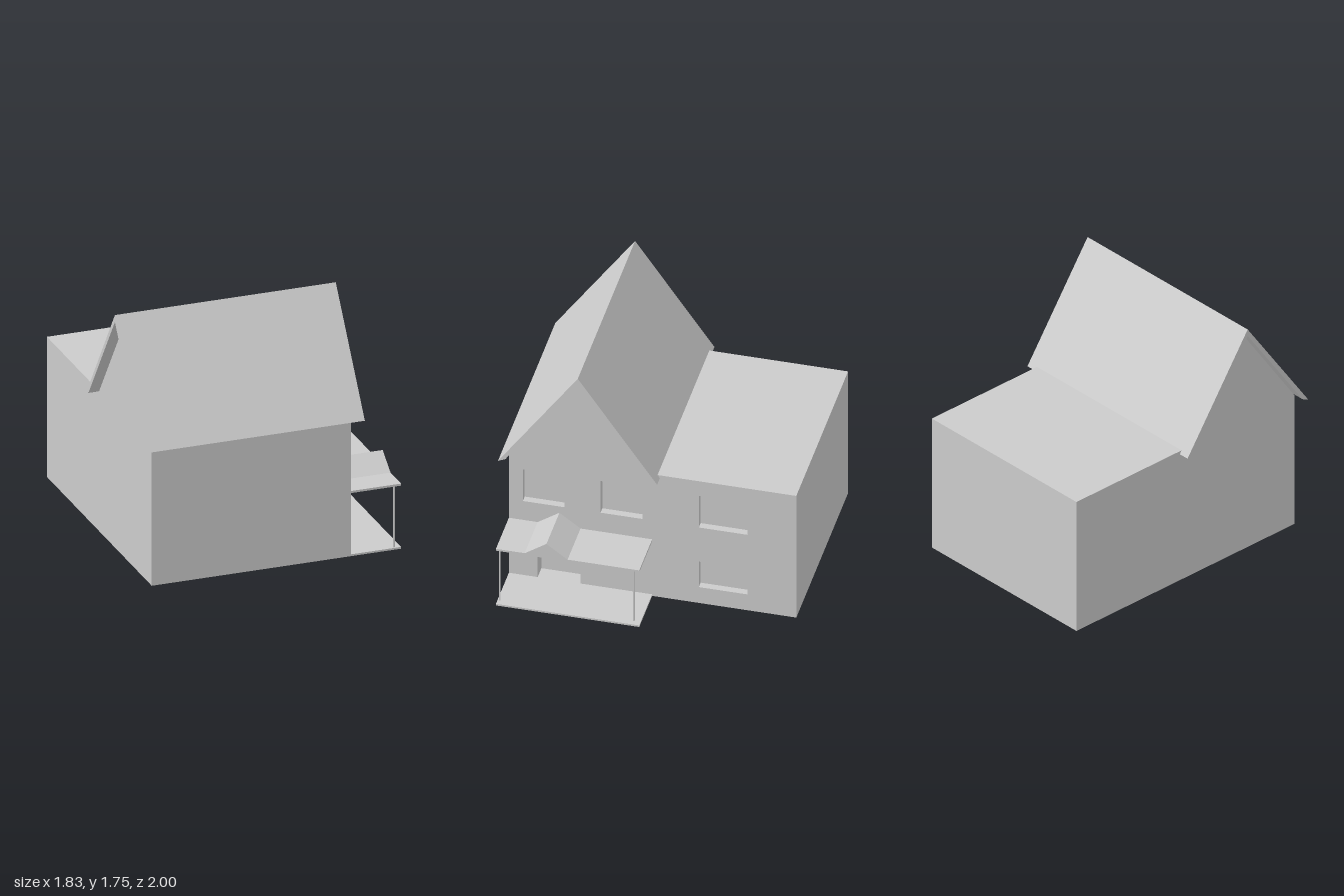
import * as THREE from 'three';

const material = new THREE.MeshStandardMaterial({ color: 0xcccccc, flatShading: true });
const thin = new THREE.MeshStandardMaterial({ color: 0xcccccc, flatShading: true, side: THREE.DoubleSide });

// Polygon of [z, y] points facing +x
const sideShape = (pts) => new THREE.Shape(pts.map(([z, y]) => new THREE.Vector2(-z, y)));
const rect = (z0, z1, y0, y1) => [[z0, y0], [z1, y0], [z1, y1], [z0, y1]];

// Strip of quads joining an outline of [z, y] points at x0 to the same at x1
function band(pts, x0, x1) {
  const pos = [];
  pts.forEach(([z, y], i) => {
    const [zn, yn] = pts[(i + 1) % pts.length];
    pos.push(x0, y, z, x0, yn, zn, x1, yn, zn, x0, y, z, x1, yn, zn, x1, y, z);
  });
  const geo = new THREE.BufferGeometry();
  geo.setAttribute('position', new THREE.Float32BufferAttribute(pos, 3));
  geo.computeVertexNormals();
  return geo;
}

function add(parent, name, geo, mat = material) {
  const mesh = new THREE.Mesh(geo, mat);
  mesh.name = name;
  parent.add(mesh);
  return mesh;
}

// Flat panel facing +x at the given x
const panel = (shape, x) => new THREE.ShapeGeometry(shape).rotateY(Math.PI / 2).translate(x, 0, 0);

// Box given by its limits
function block(parent, name, x0, x1, y0, y1, z0, z1) {
  add(parent, name, new THREE.BoxGeometry(x1 - x0, y1 - y0, z1 - z0))
    .position.set((x0 + x1) / 2, (y0 + y1) / 2, (z0 + z1) / 2);
}

export function createModel() {
  const model = new THREE.Group();
  model.name = 'house';
  const left = -0.84, right = 0.56;

  // House body with recessed openings in the right wall
  const body = new THREE.Group();
  body.name = 'body';
  model.add(body);
  const outline = [[0.945, 0], [-1, 0], [-1, 1], [-0.03, 1], [0.46, 1.7], [0.945, 1]];
  const openings = [
    ['window', rect(0.85, 0.57, 0.62, 0.88), 0.05],
    ['window', rect(0.325, 0.04, 0.62, 0.88), 0.05],
    ['window', rect(-0.34, -0.67, 0.62, 0.88), 0.05],
    ['window', rect(-0.34, -0.67, 0.13, 0.34), 0.05],
    ['door', rect(0.75, 0.46, 0.013, 0.34), 0.1],
  ];
  const wall = sideShape(outline);
  for (const [name, pts, depth] of openings) {
    wall.holes.push(sideShape(pts));
    add(body, name + 'Pane', panel(sideShape(pts), right - depth));
    add(body, name + 'Reveal', band(pts, right - depth, right), thin);
  }
  add(body, 'rightWall', panel(wall, right));
  add(body, 'leftWall', panel(sideShape(outline), left), thin);
  add(body, 'outerWalls', band(outline, left, right), thin);

  // Steep overhanging gable roof
  const roof = sideShape([[1, 0.977], [0.46, 1.75], [-0.077, 0.977], [-0.03, 1], [0.46, 1.7], [0.95, 1]]);
  add(model, 'gableRoof', new THREE.ExtrudeGeometry(roof, { depth: 1.55, bevelEnabled: false })
    .rotateY(Math.PI / 2).translate(-0.915, 0, 0));

  // Porch: floor, posts and flat roof with a small gable
  const porch = new THREE.Group();
  porch.name = 'porch';
  model.add(porch);
  const edge = 0.91, zBack = -0.025, zFront = 0.945;
  block(porch, 'porchFloor', right, edge, 0, 0.013, zBack, zFront);
  for (const z of [0.022, 0.93]) block(porch, 'porchPost', 0.86, 0.87, 0.013, 0.45, z - 0.005, z + 0.005);
  block(porch, 'porchRoofBack', right, edge, 0.45, 0.465, zBack, 0.46);
  block(porch, 'porchRoofFront', right, edge, 0.45, 0.465, 0.75, zFront);
  const gable = [[0.75, 0.45], [0.46, 0.45], [0.46, 0.465], [0.603, 0.568], [0.75, 0.465]];
  add(porch, 'porchPediment', panel(sideShape(gable), edge), thin);
  // Two sloping sheets, open underneath
  for (const z of [0.46, 0.75]) {
    add(porch, 'porchGableSlope', band([[z, 0.465], [0.603, 0.568]], right, edge), thin);
  }
  return model;
}
